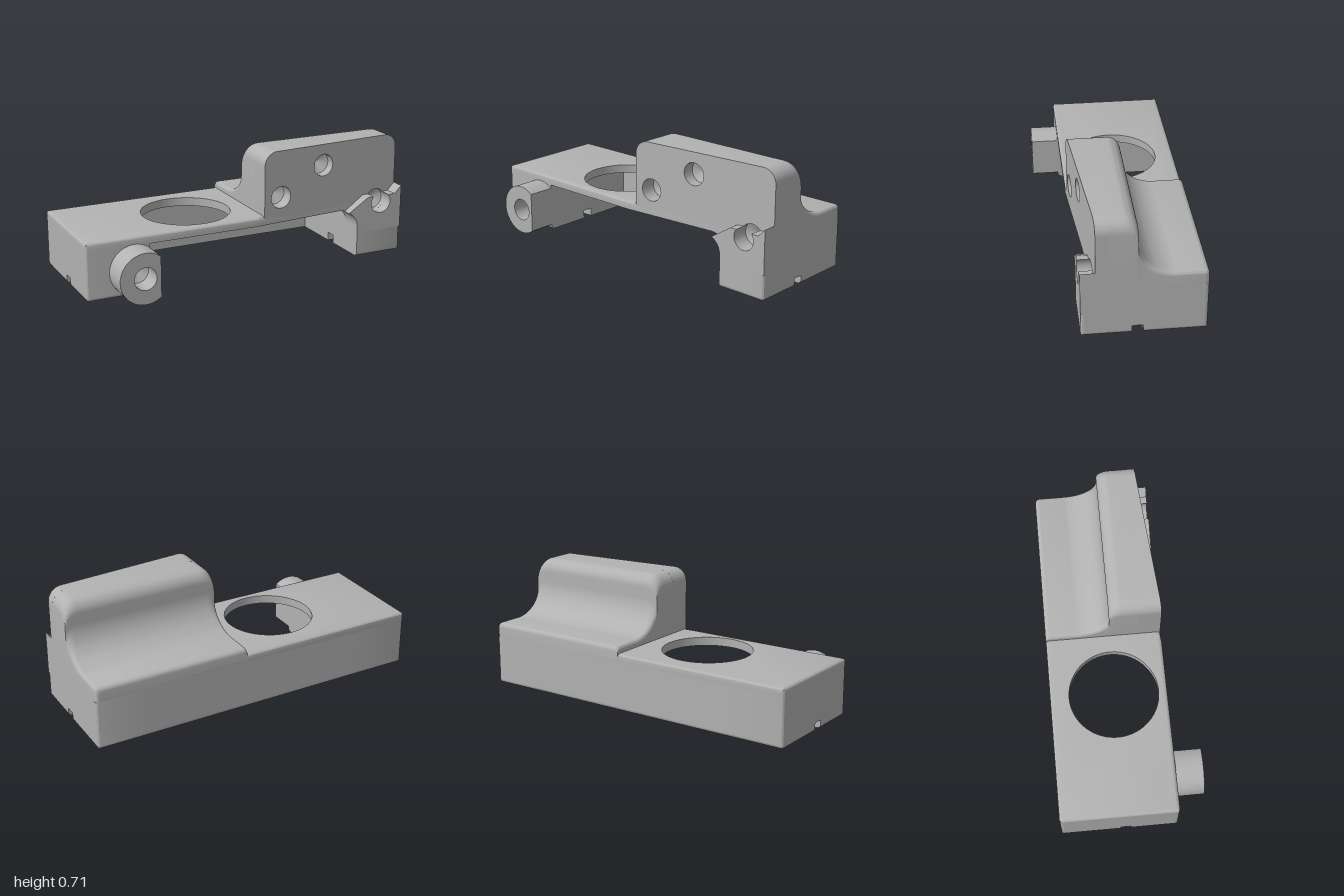
import * as THREE from 'three';
import { toCreasedNormals } from 'three/addons/utils/BufferGeometryUtils.js';

const BACK = -0.42, FRONT = 0.26, EDGE = 0.02, BORE = 0.065;
const DECK_Y = 0.285, DECK_TOP = 0.335;
const clamp = THREE.MathUtils.clamp;

// The front of the raised block leans back towards x = 1
const slantZ = x => FRONT - 0.08 * Math.max(0, x - 0.02) / 0.98;

function circlePath(x, y, r) {
  return new THREE.Path().absarc(x, y, r, 0, Math.PI * 2, true);
}

// Moves every vertex by a rule
function deform(geo, rule) {
  const pos = geo.attributes.position, v = new THREE.Vector3();
  for (let i = 0; i < pos.count; i++) {
    rule(v.fromBufferAttribute(pos, i));
    pos.setXYZ(i, v.x, v.y, v.z);
  }
  return geo;
}

// Plan rectangle; the outer corners of the body are rounded
function planRect(x0, z0, x1, z1, holes = []) {
  const corners = [[x0, z0], [x1, z0], [x1, z1], [x0, z1]];
  const shape = new THREE.Shape();
  corners.forEach(([x, z], i) => {
    const outer = Math.abs(x) === 1 && (z === BACK || z === FRONT);
    const toward = ([a, b]) => {
      const d = Math.hypot(a - x, b - z);
      return [x + (a - x) * EDGE / d, z + (b - z) * EDGE / d];
    };
    const a = outer ? toward(corners[(i + 3) % 4]) : [x, z];
    if (i) shape.lineTo(...a); else shape.moveTo(...a);
    if (outer) shape.quadraticCurveTo(x, z, ...toward(corners[(i + 1) % 4]));
  });
  shape.closePath();
  holes.forEach(([x, z, r]) => shape.holes.push(circlePath(x, z, r)));
  return shape;
}

// Upright extrusion of a plan, with outer edges rounded near the bottom and deck top
function slab(shape, y0, y1) {
  const rounded = y0 < 0.01 || y1 > DECK_TOP - 0.001;
  const geo = new THREE.ExtrudeGeometry(shape, {
    depth: y1 - y0, steps: rounded ? 10 : 1, bevelEnabled: false, curveSegments: 32,
  });
  geo.rotateX(Math.PI / 2).translate(0, y1, 0);
  deform(geo, v => {
    const t = clamp(EDGE - Math.min(v.y, DECK_TOP - v.y), 0, EDGE);
    const inset = EDGE - Math.sqrt(EDGE * EDGE - t * t);
    v.x = clamp(v.x, -1 + inset, 1 - inset);
    v.z = clamp(v.z, BACK + inset, FRONT - inset);
  });
  return toCreasedNormals(geo, 0.6);
}

// Extrusion towards the front; the front face follows a depth rule
function frontPiece(shape, z0, zRule) {
  const geo = new THREE.ExtrudeGeometry(shape, { depth: 1, bevelEnabled: false, curveSegments: 24 });
  deform(geo, v => { v.z = v.z > 0.5 ? zRule(v.x) : z0; });
  return toCreasedNormals(geo, 0.6);
}

// Raised block and rear shelf: cross-sections lofted from back to front
function blockGeometry() {
  const stations = [[BACK, DECK_Y + 0.001, EDGE]];
  for (let i = 0; i <= 5; i++) {
    const a = i / 5 * Math.PI / 2;
    stations.push([BACK + 0.025 * (1 - Math.cos(a)), 0.35 + 0.025 * Math.sin(a), EDGE * (1 - Math.sin(a))]);
  }
  for (let i = 0; i <= 16; i++) {
    const a = -Math.PI / 2 + i / 16 * Math.PI / 2;
    stations.push([-0.245 + 0.2 * Math.cos(a), 0.575 + 0.2 * Math.sin(a), 0]);
  }
  for (let i = 0; i <= 10; i++) {
    const a = Math.PI - i / 10 * Math.PI / 2;
    stations.push([0.03 + 0.075 * Math.cos(a), 0.635 + 0.075 * Math.sin(a), 0]);
  }
  stations.push([0.125, 0.71, 0]);

  const N = 8, ring = 2 * (N + 1) + 2, pos = [], index = [];
  for (const [z, h, inset] of stations) {
    const x0 = 0.08, x1 = 1 - inset;
    const r = Math.min(h - DECK_Y, 0.02 + 0.06 * clamp((h - 0.375) / 0.25, 0, 1));
    pos.push(x0, DECK_Y, z);
    for (let k = 0; k <= N; k++) {
      const a = k / N * Math.PI / 2;
      pos.push(x0 + r - r * Math.cos(a), h - r + r * Math.sin(a), z);
    }
    for (let k = N; k >= 0; k--) {
      const a = k / N * Math.PI / 2;
      pos.push(x1 - r + r * Math.cos(a), h - r + r * Math.sin(a), z);
    }
    pos.push(x1, DECK_Y, z);
  }
  for (let i = 0; i < stations.length - 1; i++) {
    for (let j = 0; j < ring - 1; j++) {
      const a = i * ring + j, b = a + 1, c = a + ring, d = c + 1;
      index.push(a, c, b, b, c, d);
    }
  }
  const geo = new THREE.BufferGeometry();
  geo.setAttribute('position', new THREE.Float32BufferAttribute(pos, 3));
  geo.setIndex(index);
  return toCreasedNormals(geo, 0.6);
}

export function createModel() {
  const model = new THREE.Group();
  model.name = 'mountingBracket';
  const grey = new THREE.MeshStandardMaterial({ color: 0xb2b2b2, side: THREE.DoubleSide });
  grey.name = 'plain grey';
  const add = (name, geo, parent = model) => {
    const mesh = new THREE.Mesh(geo, grey);
    mesh.name = name;
    parent.add(mesh);
    return mesh;
  };
  // Conical end of a drilled hole, tip along +y before placing
  const drillTip = (name, r) => add(name, new THREE.ConeGeometry(r, 0.035, 32, 1, true));

  // Feet: slotted pads with two drilled holes each
  const feet = [
    { name: 'rightFoot', x0: -1, x1: -0.63, holeX: -0.74, front: FRONT },
    { name: 'leftFoot', x0: 0.7, x1: 1, holeX: 0.85, front: 0.125 },
  ];
  for (const { name, x0, x1, holeX, front } of feet) {
    const foot = new THREE.Group();
    foot.name = name;
    model.add(foot);
    const back = [holeX, -0.23, 0.06], fore = [holeX, 0.11, 0.06];
    add('footRearPad', slab(planRect(x0, BACK, x1, -0.075, [back]), 0, 0.05), foot);
    add('footFrontPad', slab(planRect(x0, -0.015, x1, FRONT, [fore]), 0, 0.05), foot);
    add('footDrilledLayer', slab(planRect(x0, BACK, x1, FRONT, [back, fore]), 0.05, 0.15), foot);
    add('footUpper', slab(planRect(x0, BACK, x1, front), 0.15, 0.29), foot);
    for (const [x, z, r] of [back, fore]) drillTip('footHoleTip', r).position.set(x, 0.131, z);
  }

  // Thin rear wall between the feet
  add('rearWallBottom', slab(planRect(-0.64, BACK, 0.71, -0.37), 0, 0.05));
  add('rearWall', slab(planRect(-0.64, BACK, 0.71, -0.37), 0.05, 0.29));

  // Deck with the large round opening
  const deck = new THREE.Shape();
  deck.moveTo(-1, BACK + EDGE).quadraticCurveTo(-1, BACK, -1 + EDGE, BACK);
  deck.lineTo(0.7, BACK).lineTo(0.7, slantZ(0.7)).lineTo(0.02, FRONT).lineTo(-1 + EDGE, FRONT);
  deck.quadraticCurveTo(-1, FRONT, -1, FRONT - EDGE).closePath();
  deck.holes.push(circlePath(-0.28, -0.05, 0.26));
  add('deck', slab(deck, DECK_Y, DECK_TOP));

  // Raised block with curved back
  add('raisedBlock', blockGeometry());

  // Slanted front plate of the block, with drilled holes
  const bores = [[0.19, 0.435], [0.48, 0.585], [0.86, 0.32]];
  const plate = new THREE.Shape();
  plate.moveTo(0.08, DECK_Y).lineTo(0.6, DECK_Y);
  plate.absarc(0.6, 0.185, 0.1, Math.PI / 2, 0, true);
  plate.lineTo(0.7, 0.15).lineTo(1, 0.15).lineTo(1, 0.63);
  plate.absarc(0.92, 0.63, 0.08, 0, Math.PI / 2, false);
  plate.absarc(0.16, 0.63, 0.08, Math.PI / 2, Math.PI, false);
  plate.closePath();
  for (const [x, y] of bores) {
    plate.holes.push(circlePath(x, y, BORE));
    const tip = drillTip('blockHoleTip', BORE);
    tip.rotation.x = -Math.PI / 2;
    tip.position.set(x, y, 0.143);
  }
  add('slantedFrontPlate', frontPiece(plate, 0.12, slantZ));

  // Ledge in front of the slanted plate, notched around the lowest hole
  const ledge = new THREE.Shape();
  const notch = Math.asin(0.04 / BORE);
  ledge.moveTo(0.7, 0.15).lineTo(1, 0.15).lineTo(1, 0.405).lineTo(0.955, 0.36);
  ledge.absarc(0.86, 0.32, BORE, notch, Math.PI - notch, true);
  ledge.lineTo(0.77, 0.36).lineTo(0.64, 0.277);
  ledge.absarc(0.6, 0.185, 0.1, 1.16, 0, true);
  ledge.closePath();
  add('frontLedge', frontPiece(ledge, 0.17, () => FRONT));

  // Round boss with one flat side and a drilled hole
  const R = 0.147, flat = Math.acos(0.09 / R);
  const boss = new THREE.Shape();
  boss.absarc(-0.72, R, R, flat, Math.PI * 2 - flat, false);
  boss.closePath();
  boss.holes.push(circlePath(-0.72, R, BORE));
  add('boss', frontPiece(boss, FRONT - 0.005, () => 0.42));
  const bossTip = drillTip('bossHoleTip', BORE);
  bossTip.rotation.x = -Math.PI / 2;
  bossTip.position.set(-0.72, R, 0.28);

  return model;
}
